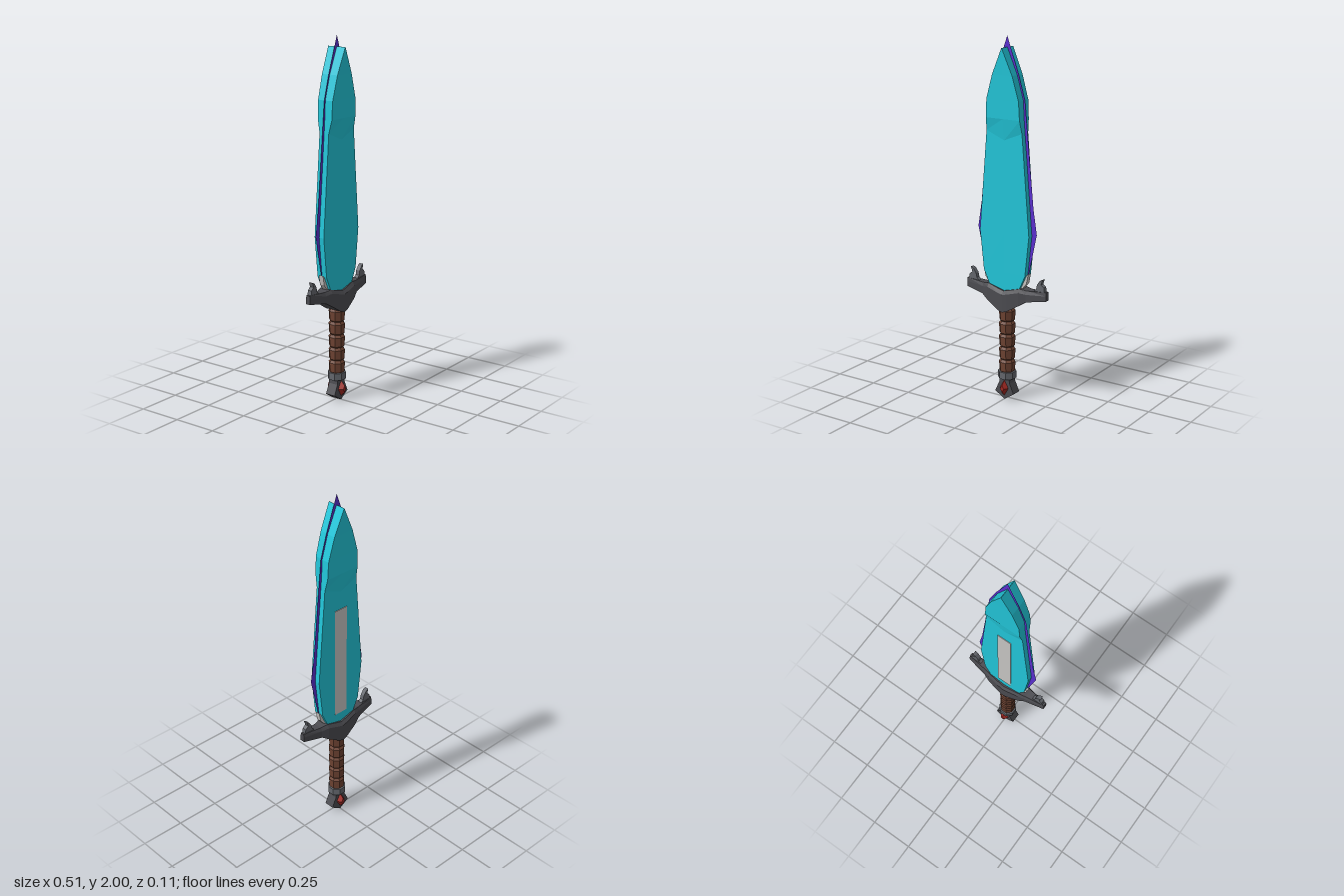
import * as THREE from 'three';

const mat = (name, color, extra = {}) =>
  Object.assign(new THREE.MeshStandardMaterial({ color, flatShading: true, ...extra }), { name });

// Skin a list of equal-length point rings and cap both ends.
function loft(rings) {
  const pos = [];
  const tri = (...pts) => pts.forEach((p) => pos.push(...p));
  const n = rings[0].length;
  for (let i = 0; i < rings.length - 1; i++) {
    for (let j = 0; j < n; j++) {
      const k = (j + 1) % n;
      const a = rings[i][j], b = rings[i][k], c = rings[i + 1][k], d = rings[i + 1][j];
      tri(a, b, c);
      tri(a, c, d);
    }
  }
  const first = rings[0], last = rings[rings.length - 1];
  for (let j = 1; j < n - 1; j++) {
    tri(first[0], first[j + 1], first[j]);
    tri(last[0], last[j], last[j + 1]);
  }
  const g = new THREE.BufferGeometry();
  g.setAttribute('position', new THREE.Float32BufferAttribute(pos, 3));
  g.computeVertexNormals();
  return g;
}

const shapeOf = (pts) => new THREE.Shape(pts.map(([x, y]) => new THREE.Vector2(x, y)));

// Outline extruded evenly to both sides of z = 0.
function plate(pts, halfDepth) {
  const g = new THREE.ExtrudeGeometry(shapeOf(pts), { depth: halfDepth * 2, bevelEnabled: false });
  return g.translate(0, 0, -halfDepth);
}

// Right half outline (top to bottom) completed with its mirror image.
const mirrored = (half) => [...half, ...half.slice().reverse().filter(([x]) => x > 0).map(([x, y]) => [-x, y])];

export function createModel() {
  const cyan = mat('bladeCyan', 0x22c6d9);
  const violet = mat('edgeViolet', 0x5a2fd0, { side: THREE.DoubleSide });
  const iron = mat('darkIron', 0x4b4b50);
  const steel = mat('steelGrey', 0x64676d);
  const silver = mat('paleSilver', 0xc8c6c4);
  const leather = mat('brownLeather', 0x6e4332);
  const ruby = mat('rubyRed', 0xa02822);

  const model = new THREE.Group();
  model.name = 'sword';
  const add = (name, geometry, material) => {
    const mesh = new THREE.Mesh(geometry, material);
    mesh.name = name;
    model.add(mesh);
    return mesh;
  };

  // Blade body: [edge y, centre y, half width, half thickness]
  const bladeRows = [
    [0.62, 0.6, 0.075, 0.03], [0.66, 0.66, 0.1, 0.03], [0.73, 0.73, 0.132, 0.03],
    [0.95, 0.95, 0.156, 0.03], [1.5, 1.455, 0.111, 0.03], [1.57, 1.57, 0.105, 0.045],
    [1.67, 1.67, 0.1, 0.047], [1.8, 1.8, 0.062, 0.05], [1.94, 1.94, 0.001, 0.055],
  ];
  add('blade', loft(bladeRows.map(([ye, yc, w, z]) => [
    [-w, ye, z], [0, yc, z], [w, ye, z], [w, ye, -z], [0, yc, -z], [-w, ye, -z],
  ])), cyan);

  // Thin cutting edge standing out around the blade
  add('cuttingEdge', new THREE.ShapeGeometry(shapeOf(mirrored([
    [0, 2], [0.072, 1.8], [0.11, 1.67], [0.165, 1.1], [0.187, 0.96], [0.137, 0.73], [0.1, 0.66],
  ]))), violet);

  // Pale strip on the back of the blade
  add('backStrip', new THREE.BoxGeometry(0.084, 0.66, 0.004).translate(0, 1.02, -0.031), silver);

  // Crossguard: [x, top, bottom, half depth], mirrored
  const guardHalf = [
    [0, 0.63, 0.51, 0.054], [0.03, 0.637, 0.52, 0.052], [0.1, 0.656, 0.562, 0.045],
    [0.14, 0.65, 0.588, 0.033], [0.255, 0.656, 0.607, 0.014],
  ];
  const guardRows = [
    ...guardHalf.slice(1).reverse().map(([x, ...r]) => [-x, ...r]), ...guardHalf,
  ];
  add('crossguard', loft(guardRows.map(([x, t, b, z]) => [
    [x, t, z * 0.75], [x, t - 0.02, z], [x, b, z], [x, b, -z], [x, t - 0.02, -z], [x, t, -z * 0.75],
  ])), iron);

  // Hooked prongs on the guard and pale wedges at the foot of the blade
  for (const s of [1, -1]) {
    const side = s > 0 ? 'left' : 'right';
    const flip = (pts) => pts.map(([x, y]) => [x * s, y]);
    add(side + 'Prong', plate(flip([
      [0.17, 0.645], [0.245, 0.645], [0.24, 0.68], [0.222, 0.695], [0.231, 0.722],
      [0.215, 0.715], [0.197, 0.69], [0.192, 0.665],
    ]), 0.012), steel);
    add(side + 'BladeWedge', plate(flip([
      [0.06, 0.63], [0.1, 0.645], [0.132, 0.685], [0.143, 0.74], [0.12, 0.72],
    ]), 0.014), silver);
  }

  // Grip: five wrapped bands
  const bands = 5, low = 0.155, step = 0.074;
  for (let i = 0; i < bands; i++) {
    const y = low + i * step;
    const profile = [[0.036, 0], [0.043, 0.008], [0.046, step - 0.014], [0.036, step]]
      .map(([r, h]) => new THREE.Vector2(r, y + h));
    add('gripBand' + (i + 1), new THREE.LatheGeometry(profile, 8, Math.PI / 8), leather);
  }

  // Collar between grip and pommel
  const collar = new THREE.CylinderGeometry(0.051, 0.051, 0.04, 8);
  add('collar', collar.rotateY(Math.PI / 8).translate(0, 0.14, 0), steel);

  // Pommel with a gem set through it
  add('pommel', plate(mirrored([[0.03, 0.125], [0.034, 0.095], [0.06, 0.038], [0.001, 0]]), 0.029), iron);
  const gem = (y, half, rise, z) => [
    [0, y - rise, z], [half, y, z], [0, y + rise, z], [-half, y, z],
  ];
  add('gem', loft([
    gem(0.066, 0.012, 0.02, -0.054), gem(0.066, 0.026, 0.045, -0.029),
    gem(0.066, 0.026, 0.045, 0.029), gem(0.066, 0.012, 0.02, 0.054),
  ]), ruby);

  return model;
}
